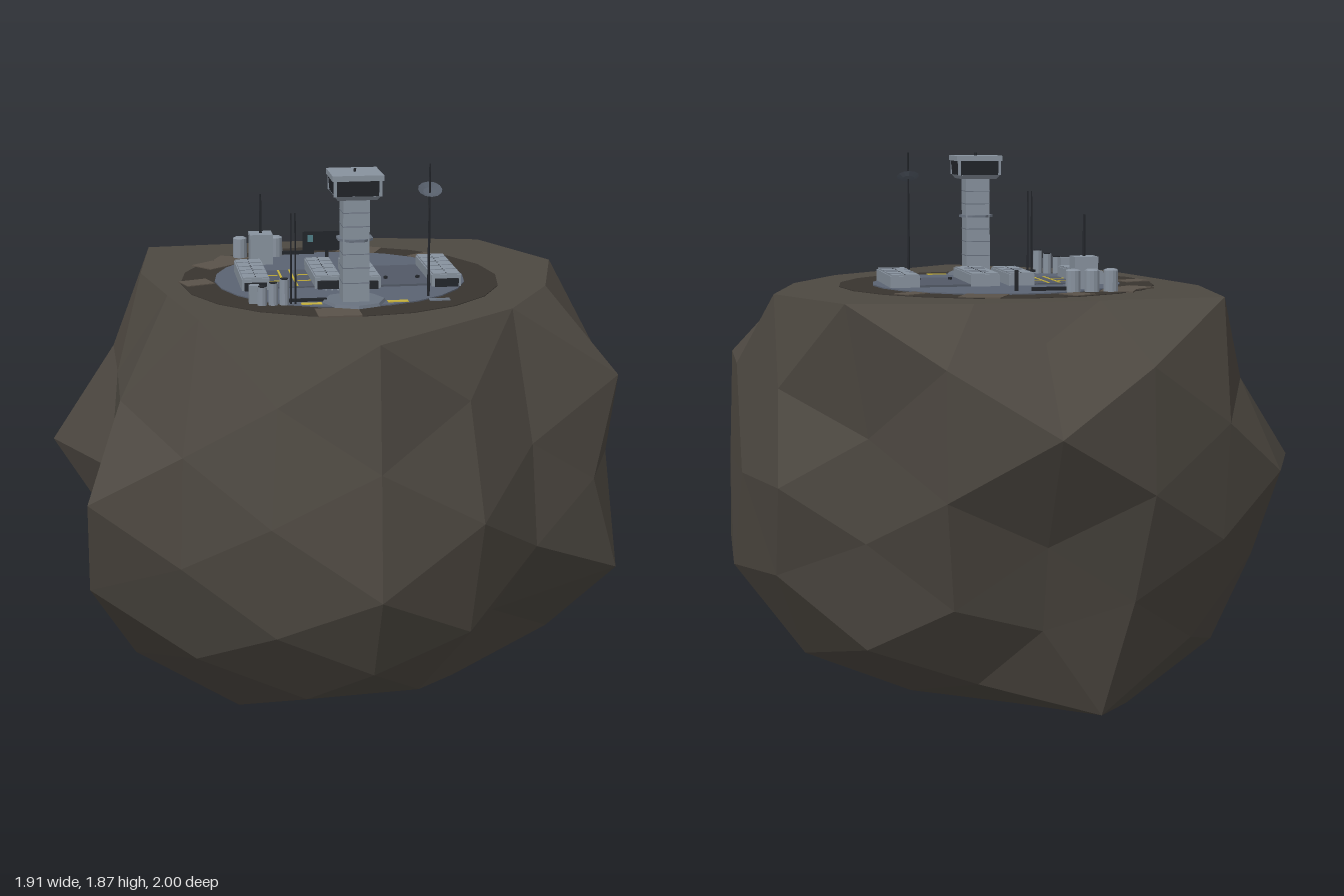
import * as THREE from 'three';

const mat = (color) => new THREE.MeshStandardMaterial({ color, flatShading: true });
const M = {
  rock: mat(0x4d4841), soil: mat(0x38342f), slab: mat(0x5a5249), pad: mat(0x5b6372),
  hull: mat(0x88929e), trim: mat(0x69727f), dark: mat(0x23262b), floor: mat(0x525966),
  yellow: mat(0xc4b03c), screen: mat(0x4f7f88),
};

// Radii of the boulder by direction class; entries run through the sign octants (x fastest, + first)
const ROCK = [
  [[.577, .577, .577], [.86, .9, .8, .95, 1.05, 1.08, .93, .95]],
  [[.202, .73, .653], [1.11, 1.12, .926, .94, 1.05, 1, .9, 1.04]],
  [[.403, .853, .326], [.95, .95, .9, .97, .95, .95, .88, .975]],
  [[.73, .653, .202], [.93, .82, .98, 1.01, 1.08, .92, .96, 1]],
  [[.853, .326, .403], [1.03, .9, 1.05, 1.04, .93, .9, .95, .95]],
  [[.326, .403, .853], [.93, .92, .96, .95, 1.02, 1, .9, .9]],
  [[.653, .202, .73], [.84, .9, .87, .92, .82, .96, .84, .94]],
  [[0, .934, .357], [.95, .87, .95, .87]],
  [[.357, 0, .934], [.95, .92, .93, .93]],
  [[.934, .357, 0], [.96, .82, .985, .83]],
  [[.526, .851, 0], [.95, .95, .877, .9]],
  [[0, .526, .851], [1.07, .98, .9, .86]],
  [[.851, 0, .526], [.93, 1.045, .955, 1.01]],
  [[0, .2, .98], [.98, 1.02, 1.02, .82]],
  [[.2, .98, 0], [.9, .9, .83, .83]],
  [[.98, 0, .2], [.93, .82, .92, 1.015]],
];
const CX = 0.037, CY = 0.836, TOP = 1.43;

function rockRadius(v) {
  const a = [Math.abs(v.x), Math.abs(v.y), Math.abs(v.z)];
  let best = null, bestDot = -1;
  for (const row of ROCK) {
    const d = row[0][0] * a[0] + row[0][1] * a[1] + row[0][2] * a[2];
    if (d > bestDot) { bestDot = d; best = row; }
  }
  let index = 0, bit = 1;
  [v.x, v.y, v.z].forEach((c, i) => {
    if (best[0][i] === 0) return;
    if (c < 0) index += bit;
    bit *= 2;
  });
  return best[1][index];
}

function makeRock() {
  const geo = new THREE.IcosahedronGeometry(1, 2);
  const p = geo.attributes.position, v = new THREE.Vector3();
  for (let i = 0; i < p.count; i++) {
    v.fromBufferAttribute(p, i).normalize();
    v.multiplyScalar(rockRadius(v));
    if (v.y > 0.48) v.y = TOP - CY; // flattened summit
    p.setXYZ(i, v.x, v.y, v.z);
  }
  geo.computeVertexNormals();
  const rock = new THREE.Mesh(geo, M.rock);
  rock.name = 'boulder';
  rock.position.set(CX, CY, 0);
  return rock;
}

function add(parent, name, geo, material, x, y, z, ry = 0) {
  const m = new THREE.Mesh(geo, material);
  m.name = name;
  m.position.set(x, y, z);
  m.rotation.y = ry;
  parent.add(m);
  return m;
}
// Box and cylinder placed by the height of their underside
const box = (g, name, m, w, h, d, x, y, z, ry) =>
  add(g, name, new THREE.BoxGeometry(w, h, d), m, x, y + h / 2, z, ry);
const cyl = (g, name, m, rt, rb, h, x, y, z, n = 12, ry = 0) =>
  add(g, name, new THREE.CylinderGeometry(rt, rb, h, n), m, x, y + h / 2, z, ry);
function part(parent, name, x = 0, y = 0, z = 0) {
  const g = new THREE.Group();
  g.name = name;
  g.position.set(x, y, z);
  parent.add(g);
  return g;
}

function makeTower(base) {
  const g = part(base, 'controlTower', 0, 0.005, 0.36);
  cyl(g, 'towerFoot', M.trim, 0.1, 0.105, 0.01, 0, 0, 0, 8);
  box(g, 'towerShaft', M.hull, 0.086, 0.35, 0.086, 0, 0.01, 0);
  for (const y of [0.07, 0.12, 0.165, 0.255, 0.3]) box(g, 'shaftSeam', M.trim, 0.088, 0.003, 0.088, 0, y, 0);
  cyl(g, 'shaftCollar', M.trim, 0.062, 0.062, 0.008, 0, 0.208, 0, 8, Math.PI / 8);
  const q = Math.SQRT1_2;
  cyl(g, 'cabinFloor', M.hull, 0.148 * q, 0.128 * q, 0.014, 0, 0.346, 0, 4, Math.PI / 4);
  cyl(g, 'cabinWindows', M.dark, 0.156 * q, 0.146 * q, 0.05, 0, 0.36, 0, 4, Math.PI / 4);
  for (const sx of [-1, 1]) for (const sz of [-1, 1])
    box(g, 'cabinPost', M.hull, 0.01, 0.05, 0.01, sx * 0.073, 0.36, sz * 0.073);
  box(g, 'cabinRoof', M.hull, 0.165, 0.018, 0.165, 0, 0.41, 0);
  cyl(g, 'roofLamp', M.dark, 0.005, 0.005, 0.01, 0, 0.428, 0, 6);
}

// Long low module with roof seams, a door and a line of small studs
function makeModule(base, x, w, z0, z1) {
  const g = part(base, 'habitatModule', x, 0.005, (z0 + z1) / 2);
  const len = z1 - z0;
  box(g, 'moduleBody', M.hull, w, 0.04, len, 0, 0, 0);
  box(g, 'moduleRoof', M.hull, w * 0.92, 0.005, len * 0.98, 0, 0.04, 0);
  for (let i = 1; i < 5; i++) box(g, 'roofSeam', M.trim, w * 0.93, 0.001, 0.003, 0, 0.045, -len / 2 + i * len / 5);
  for (let i = 0; i < 10; i++) box(g, 'roofStud', M.dark, 0.004, 0.001, 0.004, 0, 0.045, -len / 2 + (i + 0.5) * len / 10);
  box(g, 'moduleDoor', M.dark, w * 0.8, 0.028, 0.012, 0, 0, len / 2 + 0.004);
}

export function createModel() {
  const model = new THREE.Group();
  model.name = 'asteroidOutpost';
  model.add(makeRock());
  const base = part(model, 'outpost', CX, TOP, 0);

  // Crater floor, landing pad and loose slabs
  cyl(base, 'craterFloor', M.soil, 0.545, 0.545, 0.004, 0, -0.002, 0, 20);
  cyl(base, 'basePad', M.pad, 0.428, 0.428, 0.006, 0, 0, 0, 24);
  const slabs = [[-.07, .49, .14, .11, 0], [-.49, .005, .1, .08, .35], [-.4, -.28, .15, .1, .7],
    [-.34, -.36, .11, .08, -.4], [-.175, -.46, .08, .09, .5], [.135, -.46, .14, .12, -.45], [.35, -.33, .09, .07, .6]];
  for (const [x, z, w, d, r] of slabs) box(base, 'rockSlab', M.slab, w, 0.005, d, x, 0, z, r);

  makeTower(base);

  // Modules with open yards between them
  makeModule(base, -0.303, 0.093, -0.14, 0.16);
  makeModule(base, -0.06, 0.088, -0.14, 0.16);
  makeModule(base, 0.066, 0.1, -0.145, 0.178);
  makeModule(base, 0.34, 0.1, -0.145, 0.178);
  box(base, 'leftYard', M.floor, 0.152, 0.008, 0.26, -0.18, 0.003, 0.01);
  box(base, 'rightYard', M.floor, 0.174, 0.01, 0.3, 0.203, 0.003, 0.01);
  for (const x of [-0.2, -0.16]) box(base, 'yardStripe', M.yellow, 0.007, 0.002, 0.25, x, 0.011, 0.01);
  for (const z of [-0.035, 0.055]) for (const x of [-0.232, -0.128])
    box(base, 'yardCrossStripe', M.yellow, 0.045, 0.002, 0.007, x, 0.011, z);
  for (const x of [0.15, 0.26]) cyl(base, 'yardLamp', M.dark, 0.007, 0.007, 0.008, x, 0.013, 0.065, 8);
  for (let i = 0; i < 8; i++) box(base, 'padLight', M.hull, 0.006, 0.003, 0.006, -0.07 + i * 0.02, 0.006, 0.19);

  // Painted markings beside the tower
  for (const s of [-1, 1]) box(base, 'padMarking', M.yellow, 0.068, 0.002, 0.024, s * 0.142, 0.006, 0.375);
  box(base, 'padPlate', M.trim, 0.068, 0.004, 0.024, 0.28, 0.006, 0.375);

  // Dish mast
  const mast = part(base, 'dishMast', 0.254, 0.005, 0.31);
  cyl(mast, 'mastPole', M.dark, 0.003, 0.005, 0.44, 0, 0, 0, 6);
  const dishGeo = new THREE.LatheGeometry([[0, 0], [.022, .004], [.04, .014]].map(([x, y]) => new THREE.Vector2(x, y)), 12);
  const dishMat = mat(0x555d69);
  dishMat.side = THREE.DoubleSide;
  add(mast, 'dish', dishGeo, dishMat, 0, 0.345, 0).rotation.x = 0.5;

  // Fuel tanks, generator hut and feed pipe at the back
  for (let i = 0; i < 3; i++) {
    cyl(base, 'fuelTank', M.hull, 0.025, 0.025, 0.07, -0.307 + i * 0.064, 0.004, -0.386, 12);
    cyl(base, 'tankCap', M.hull, 0.016, 0.025, 0.005, -0.307 + i * 0.064, 0.074, -0.386, 12);
  }
  box(base, 'feedPipe', M.dark, 0.14, 0.012, 0.012, -0.11, 0.01, -0.386);
  box(base, 'generatorHut', M.hull, 0.08, 0.108, 0.075, -0.243, 0.005, -0.275);
  cyl(base, 'hutAntenna', M.dark, 0.004, 0.005, 0.14, -0.243, 0.112, -0.275, 6);

  // Status panel at the back, a thin board seen from the front only
  add(base, 'panelBoard', new THREE.PlaneGeometry(0.175, 0.07), M.dark, 0, 0.068, -0.325);
  for (const s of [-1, 1])
    add(base, 'panelScreen', new THREE.PlaneGeometry(0.02, 0.025), M.screen, s * 0.06, 0.078, -0.323);
  box(base, 'panelPost', M.dark, 0.012, 0.07, 0.006, 0, 0.004, -0.33);

  // Supply drums, crate and twin aerials at the front
  box(base, 'supplyCrate', M.hull, 0.034, 0.06, 0.026, -0.325, 0.004, 0.33);
  for (let i = 0; i < 3; i++) {
    const h = 0.06 + i * 0.012;
    cyl(base, 'drum', M.hull, 0.016, 0.016, h, -0.302 + i * 0.036, 0.004, 0.362, 10);
    cyl(base, 'drumLid', M.dark, 0.013, 0.013, 0.003, -0.302 + i * 0.036, 0.004 + h, 0.362, 10);
  }
  box(base, 'drumPipe', M.dark, 0.14, 0.01, 0.01, -0.16, 0.01, 0.355);
  for (const x of [-0.208, -0.194]) cyl(base, 'aerial', M.dark, 0.0025, 0.004, 0.3, x, 0.004, 0.365, 6);
  return model;
}
